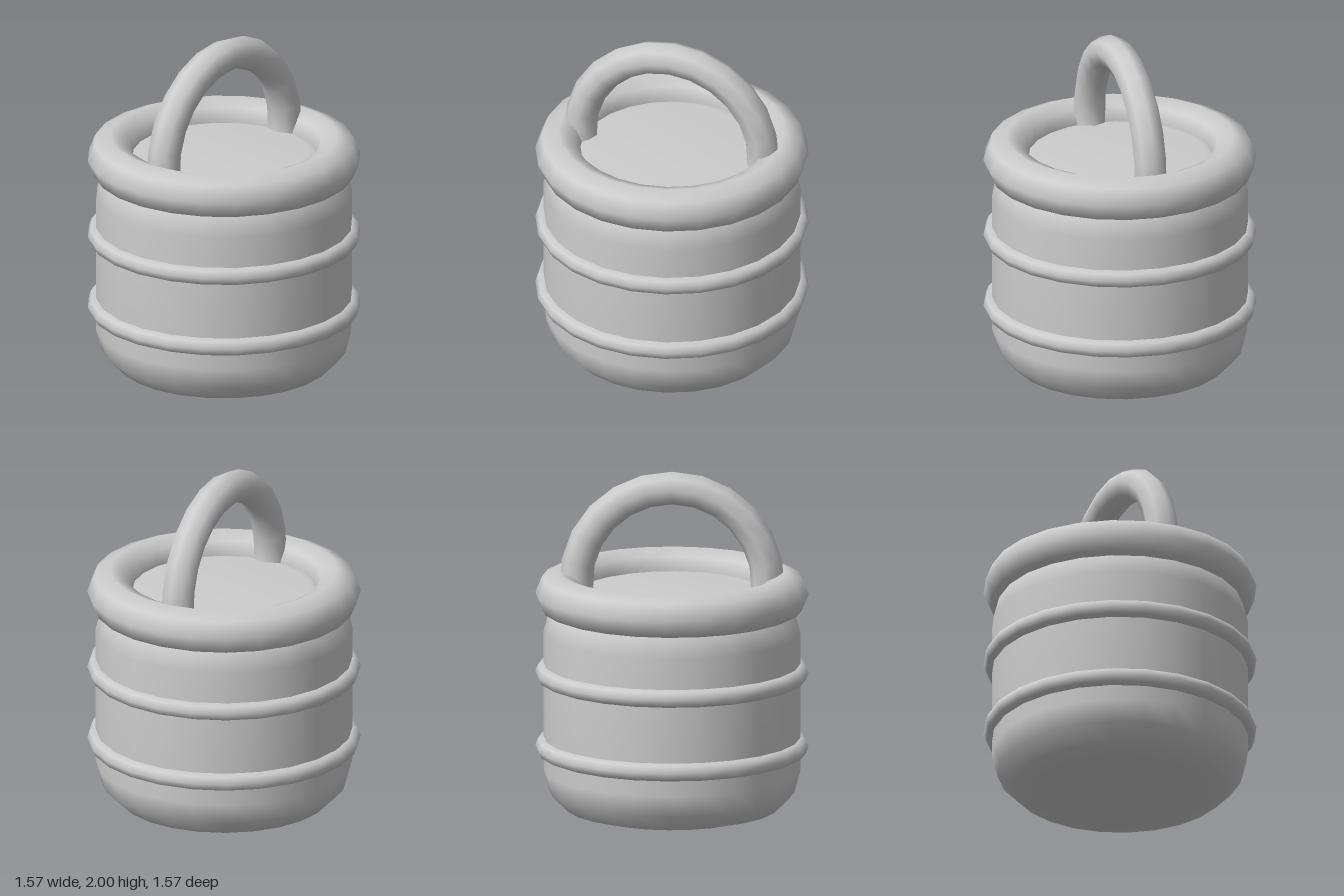
import * as THREE from 'three';

const SIDES = 24;

export function createModel() {
  const group = new THREE.Group();
  const grey = new THREE.MeshStandardMaterial({ color: 0xcccccc });
  grey.name = 'light grey';

  const add = (name, geometry, y) => {
    const mesh = new THREE.Mesh(geometry, grey);
    mesh.name = name;
    mesh.position.y = y;
    group.add(mesh);
    return mesh;
  };

  // Drum body with rounded bottom and top edges
  const height = 1.31, radius = 0.737, round = 0.25;
  const profile = [new THREE.Vector2(0, 0)];
  for (const [centreY, start] of [[round, -90], [height - round, 0]]) {
    for (let i = 0; i <= 3; i++) {
      const a = THREE.MathUtils.degToRad(start + i * 30);
      profile.push(new THREE.Vector2(
        radius - round + round * Math.cos(a),
        centreY + round * Math.sin(a)));
    }
  }
  profile.push(new THREE.Vector2(0, height));
  add('body', new THREE.LatheGeometry(profile, SIDES), 0);

  // Horizontal rings: thick rim and two thin bands
  const ring = (name, y, r, tube) => {
    const geometry = new THREE.TorusGeometry(r, tube, 8, SIDES);
    geometry.rotateX(-Math.PI / 2);
    add(name, geometry, y);
  };
  ring('rim', 1.287, 0.653, 0.132);
  ring('upperBand', 0.825, 0.73, 0.055);
  ring('lowerBand', 0.393, 0.73, 0.055);

  // Arched carrying handle, its ends sunk into the body
  const step = THREE.MathUtils.degToRad(15.7);
  const arch = new THREE.TorusGeometry(0.55, 0.096, 8, 14, step * 14);
  arch.rotateZ(Math.PI / 2 - step * 7);
  add('handle', arch, 1.354);

  return group;
}
